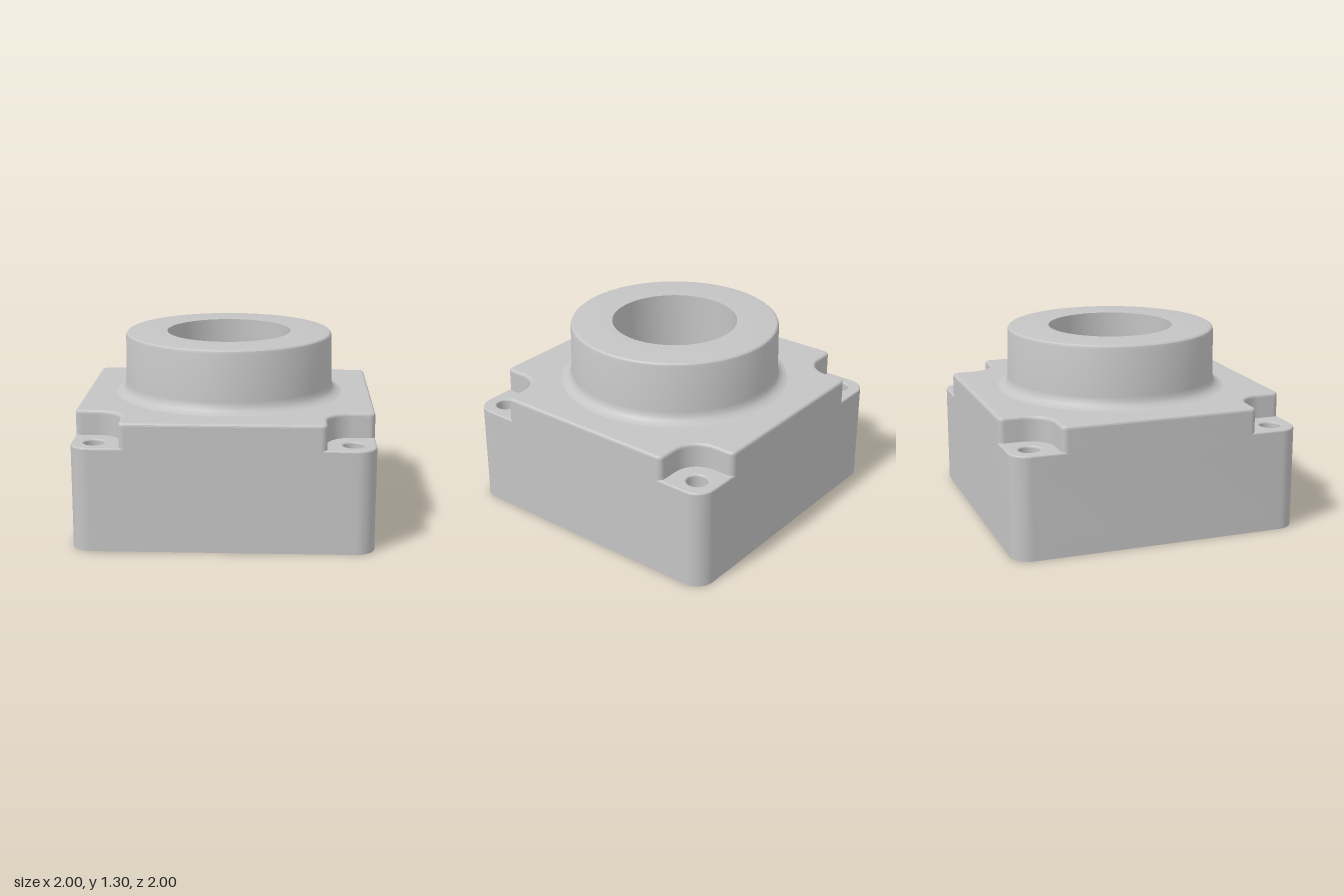
import * as THREE from 'three';
import { toCreasedNormals } from 'three/addons/utils/BufferGeometryUtils.js';

const metal = new THREE.MeshStandardMaterial({ color: 0xc4c4c4 });
metal.name = 'cast grey metal';

// Closed outline through corner points [x, y, radius], each corner rounded
function roundedOutline(points, PathType = THREE.Path) {
  const path = new PathType();
  const n = points.length;
  points.forEach(([x, y, r], i) => {
    const c = new THREE.Vector2(x, y);
    const toward = (p) => new THREE.Vector2(p[0], p[1]).sub(c).normalize();
    const before = toward(points[(i + n - 1) % n]);
    const after = toward(points[(i + 1) % n]);
    const at = (dir, d) => c.clone().addScaledVector(dir, d);
    const a = at(before, r), b = at(after, r);
    if (i === 0) path.moveTo(a.x, a.y);
    else path.lineTo(a.x, a.y);
    if (r > 0) {
      const ca = at(before, r * 0.45), cb = at(after, r * 0.45);
      path.bezierCurveTo(ca.x, ca.y, cb.x, cb.y, b.x, b.y);
    }
  });
  path.closePath();
  return path;
}

// Repeat a corner's points around the four quarters
function fourfold(corner) {
  const out = [];
  for (let k = 0; k < 4; k++) {
    const c = Math.round(Math.cos(k * Math.PI / 2)), s = Math.round(Math.sin(k * Math.PI / 2));
    corner.forEach(([x, y, r]) => out.push([c * x - s * y, s * x + c * y, r]));
  }
  return out;
}

const roundedSquare = (half, r, T) => roundedOutline(fourfold([[half, half, r]]), T);

// Square with cut corners; mid is the x (and z) of the cut's middle
const cutSquare = (half, mid, r, T) =>
  roundedOutline(fourfold([[half, 2 * mid - half, r], [2 * mid - half, half, r]]), T);

function circle(x, y, r, T = THREE.Path) {
  const p = new T();
  p.absarc(x, y, r, 0, Math.PI * 2, false);
  return p;
}

const corners = [[1, 1], [-1, 1], [-1, -1], [1, -1]];
const screwHoles = () => corners.map(([x, y]) => circle(x * 0.848, y * 0.848, 0.07));

// Square body outline with a scooped notch in every corner
function notchedOutline() {
  const scoop = [];
  for (let i = 0; i <= 12; i++) {
    const a = -Math.PI / 2 - (i / 12) * Math.PI / 2;
    scoop.push([0.848 + 0.174 * Math.cos(a), 0.848 + 0.174 * Math.sin(a), 0]);
  }
  return roundedOutline(
    fourfold([[1, 0.674, 0.04], ...scoop, [0.674, 1, 0.04]]), THREE.Shape);
}

export function createModel() {
  const model = new THREE.Group();
  model.name = 'bearingHousing';

  const add = (name, geometry, crease) => {
    const mesh = new THREE.Mesh(toCreasedNormals(geometry, crease), metal);
    mesh.name = name;
    model.add(mesh);
  };

  // Horizontal slab between two heights, optionally with rounded edges
  const slab = (name, shape, holes, y0, y1, bevel = 0) => {
    shape.holes.push(...holes);
    const g = new THREE.ExtrudeGeometry(shape, {
      depth: y1 - y0 - 2 * bevel, curveSegments: 20,
      bevelEnabled: bevel > 0, bevelSize: bevel, bevelThickness: bevel,
      bevelOffset: -bevel, bevelSegments: 3,
    });
    g.rotateX(-Math.PI / 2);
    g.translate(0, y0 + bevel, 0);
    add(name, g, 0.25);
  };

  const body = () => roundedSquare(1, 0.13, THREE.Shape);
  const cavity = () => cutSquare(0.86, 0.665, 0.03);

  // Bottom flange with a groove and thin tongue around the opening
  slab('bottomFlange', body(), [cutSquare(0.91, 0.768, 0.09), ...screwHoles()], 0, 0.08);
  slab('sealTongue', cutSquare(0.86, 0.72, 0.08, THREE.Shape),
    [cutSquare(0.84, 0.7, 0.08)], 0.005, 0.085);
  slab('innerLip', body(), [cutSquare(0.84, 0.7, 0.08), ...screwHoles()], 0.08, 0.12);

  // Hollow walls, screw ears and notched upper walls
  slab('lowerWalls', body(), [cavity(), ...screwHoles()], 0.12, 0.65);
  slab('screwEars', body(), [cavity(), ...screwHoles()], 0.6, 0.703, 0.012);
  slab('upperWalls', notchedOutline(), [cavity()], 0.64, 0.81);
  slab('topPlate', notchedOutline(), [roundedSquare(0.52, 0.2)], 0.77, 0.872, 0.02);

  // Pocket inside the collar
  slab('collarPocket', circle(0, 0, 0.71, THREE.Shape), [roundedSquare(0.52, 0.2)], 0.83, 1.0);

  // Round collar with flared foot, rounded rim and a bore sleeve hanging in the pocket
  const profile = [
    [0.435, 0.79], [0.49, 0.79], [0.49, 0.995],
    [0.70, 0.995], [0.70, 0.86], [0.80, 0.865], [0.80, 0.872],
    [0.775, 0.879], [0.75, 0.895], [0.735, 0.918], [0.73, 0.95],
    [0.725, 1.272], [0.72, 1.287], [0.71, 1.295], [0.697, 1.297],
    [0.435, 1.297], [0.435, 0.79],
  ].map(([x, y]) => new THREE.Vector2(x, y));
  add('collar', new THREE.LatheGeometry(profile, 96), 0.5);

  // Drilled bosses filling two opposite inner corners
  for (const s of [1, -1]) {
    const outline = [
      [-0.46, -0.90, 0], [-0.47, -0.80, 0.03], [-0.50, -0.70, 0.04], [-0.46, -0.60, 0.05],
      [-0.53, -0.52, 0.05], [-0.63, -0.52, 0.04], [-0.71, -0.55, 0.04],
      [-0.80, -0.50, 0.04], [-0.90, -0.46, 0],
    ].map(([x, y, r]) => [s * x, s * y, r]);
    slab('cornerBoss', roundedOutline(outline, THREE.Shape),
      [circle(s * -0.57, s * -0.63, 0.045)], 0.12, 0.8);
  }

  // Slim locating pins and a small wall tab
  for (const [x, z] of [[0.61, -0.36], [-0.44, 0.77]]) {
    add('locatingPin', new THREE.CylinderGeometry(0.03, 0.03, 0.69, 24).translate(x, 0.445, z), 0.5);
  }
  add('wallTab', new THREE.BoxGeometry(0.14, 0.13, 0.08).translate(-0.81, 0.5, 0.33), 0.5);

  return model;
}
